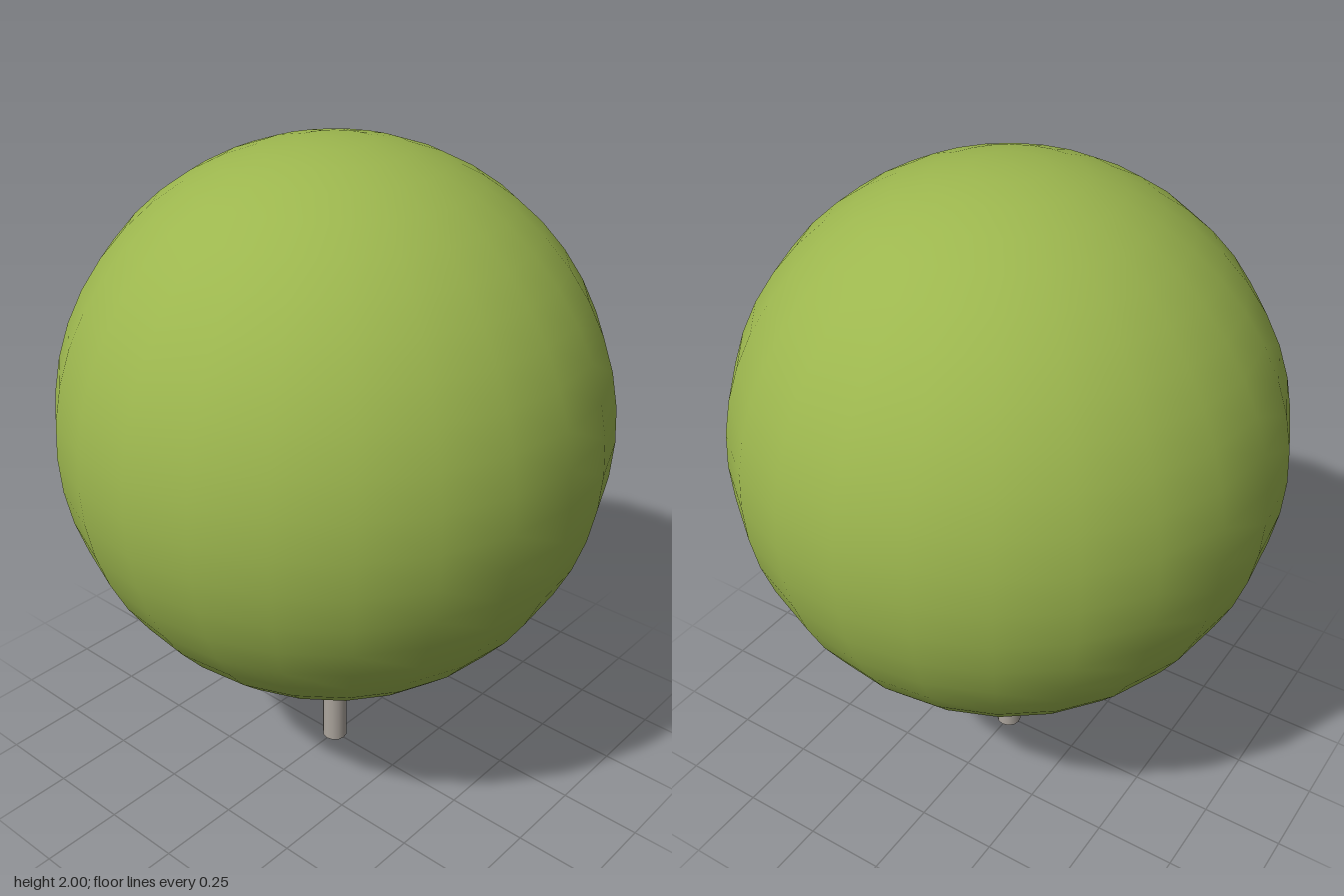
import * as THREE from 'three';

export function createModel() {
  const tree = new THREE.Group();
  tree.name = 'roundTree';

  // Slightly tall ball of foliage
  const crownGeometry = new THREE.SphereGeometry(1, 24, 24);
  crownGeometry.scale(0.812, 0.827, 0.812);
  const crown = new THREE.Mesh(crownGeometry, new THREE.MeshStandardMaterial({ color: 0x9cb64e }));
  crown.name = 'foliage';
  crown.position.y = 1.173;
  tree.add(crown);

  // Thin trunk reaching just inside the foliage
  const trunkHeight = 0.4;
  const trunk = new THREE.Mesh(
    new THREE.CylinderGeometry(0.04, 0.04, trunkHeight, 12),
    new THREE.MeshStandardMaterial({ color: 0xaca59d })
  );
  trunk.name = 'trunk';
  trunk.position.y = trunkHeight / 2;
  tree.add(trunk);

  return tree;
}
